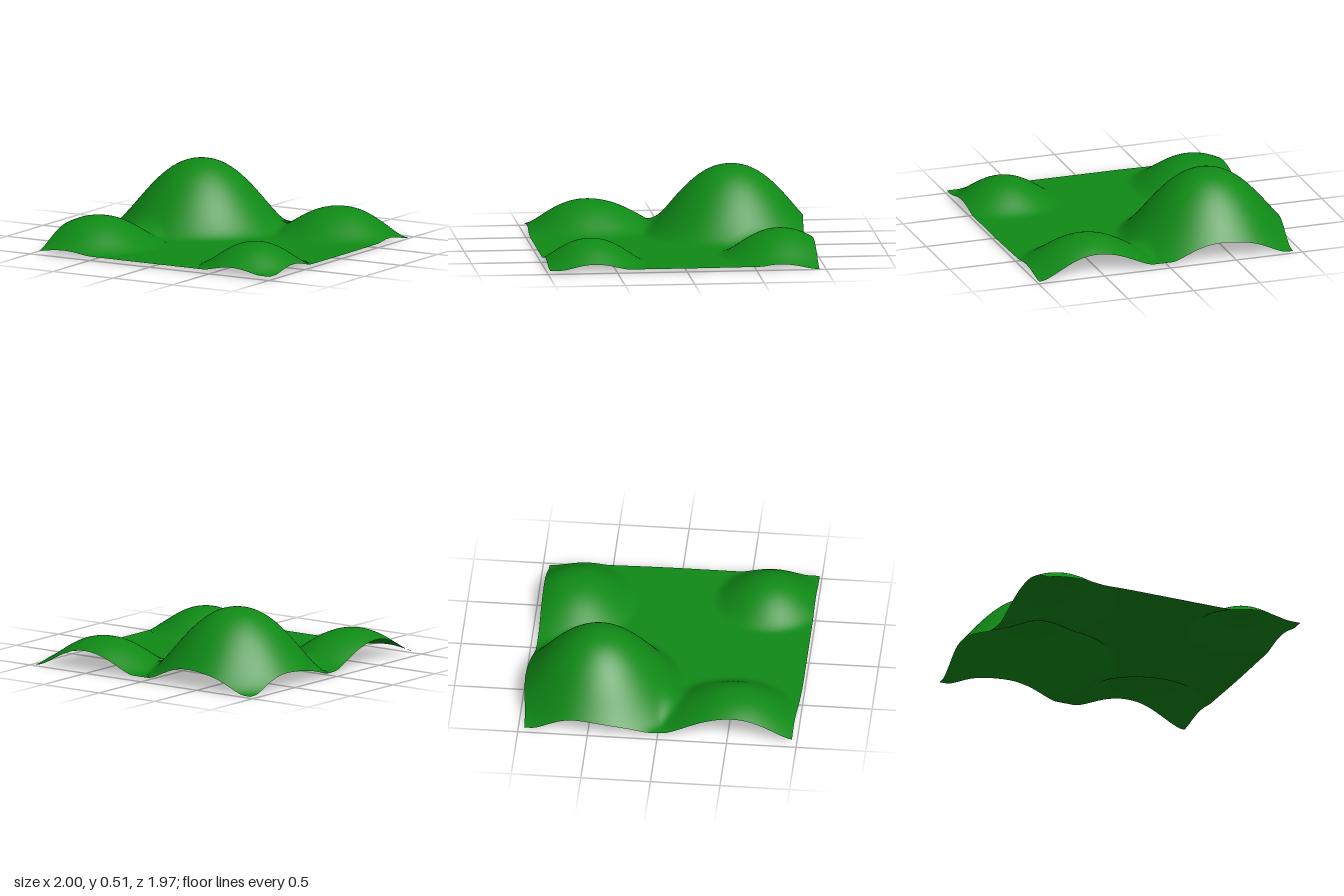
import * as THREE from 'three';

// Hills: centre, height and radius towards -x, +x, -z, +z
const HILLS = [
  { x: -0.46, z: -0.47, h: 0.49, r: [0.65, 0.65, 0.65, 0.65] }, // big hill
  { x: 0.54, z: -0.72, h: 0.195, r: [0.5, 0.5, 0.45, 0.44] },
  { x: -0.72, z: 0.54, h: 0.205, r: [0.48, 0.47, 0.56, 0.48] },
  { x: 0.68, z: 0.66, h: 0.172, r: [0.4, 0.4, 0.4, 0.4] },
];

const smooth = THREE.MathUtils.smoothstep;
const bell = (d, width) => Math.exp(-((d / width) ** 2));

// Round-topped dome with a soft toe
function hillHeight(hill, x, z) {
  const dx = x - hill.x, dz = z - hill.z;
  const t = Math.hypot(dx / hill.r[dx < 0 ? 0 : 1], dz / hill.r[dz < 0 ? 2 : 3]);
  return t < 1 ? hill.h * (1 - t ** 2.2) ** 1.6 : 0;
}

// Ground level, dipping slightly at the back corners
function groundHeight(x, z) {
  const back = 1 - smooth(z, -0.957, -0.6);
  const side = smooth(Math.abs(x), 0.6, 0.96);
  return 0.026 - 0.025 * back * side;
}

export function createModel() {
  const group = new THREE.Group();
  group.name = 'terrain';

  const geometry = new THREE.PlaneGeometry(2, 2, 80, 80).rotateX(-Math.PI / 2);
  const pos = geometry.attributes.position;
  for (let i = 0; i < pos.count; i++) {
    const u = pos.getX(i), v = pos.getZ(i);
    let x = THREE.MathUtils.mapLinear(u, -1, 1, -0.943, 0.998);
    let z = THREE.MathUtils.mapLinear(v, -1, 1, -0.955, 0.985);

    // The big hill pushes the left and back edges outwards
    const nearLeft = 1 - smooth(u, -1, -0.5), nearBack = 1 - smooth(v, -1, -0.5);
    const pushX = 0.057 * bell(z + 0.4, 0.31) * nearLeft;
    const pushZ = 0.035 * bell(x + 0.52, 0.27) * nearBack;

    // Slight pull-in at the back right and front left corners
    const pullX = 0.018 * smooth(u, 0.5, 1) * (1 - smooth(v, -1, 0));
    const pullZ = 0.02 * smooth(v, 0.5, 1) * (1 - smooth(u, -0.9, -0.3));
    x -= pushX + pullX;
    z -= pushZ + pullZ;

    const y = HILLS.reduce((sum, hill) => sum + hillHeight(hill, x, z), groundHeight(x, z));
    pos.setXYZ(i, x, y, z);
  }
  geometry.computeVertexNormals();

  const grass = new THREE.MeshStandardMaterial({ color: 0x0f8a16, side: THREE.DoubleSide });
  const ground = new THREE.Mesh(geometry, grass);
  ground.name = 'hillyGround';
  group.add(ground);
  return group;
}
